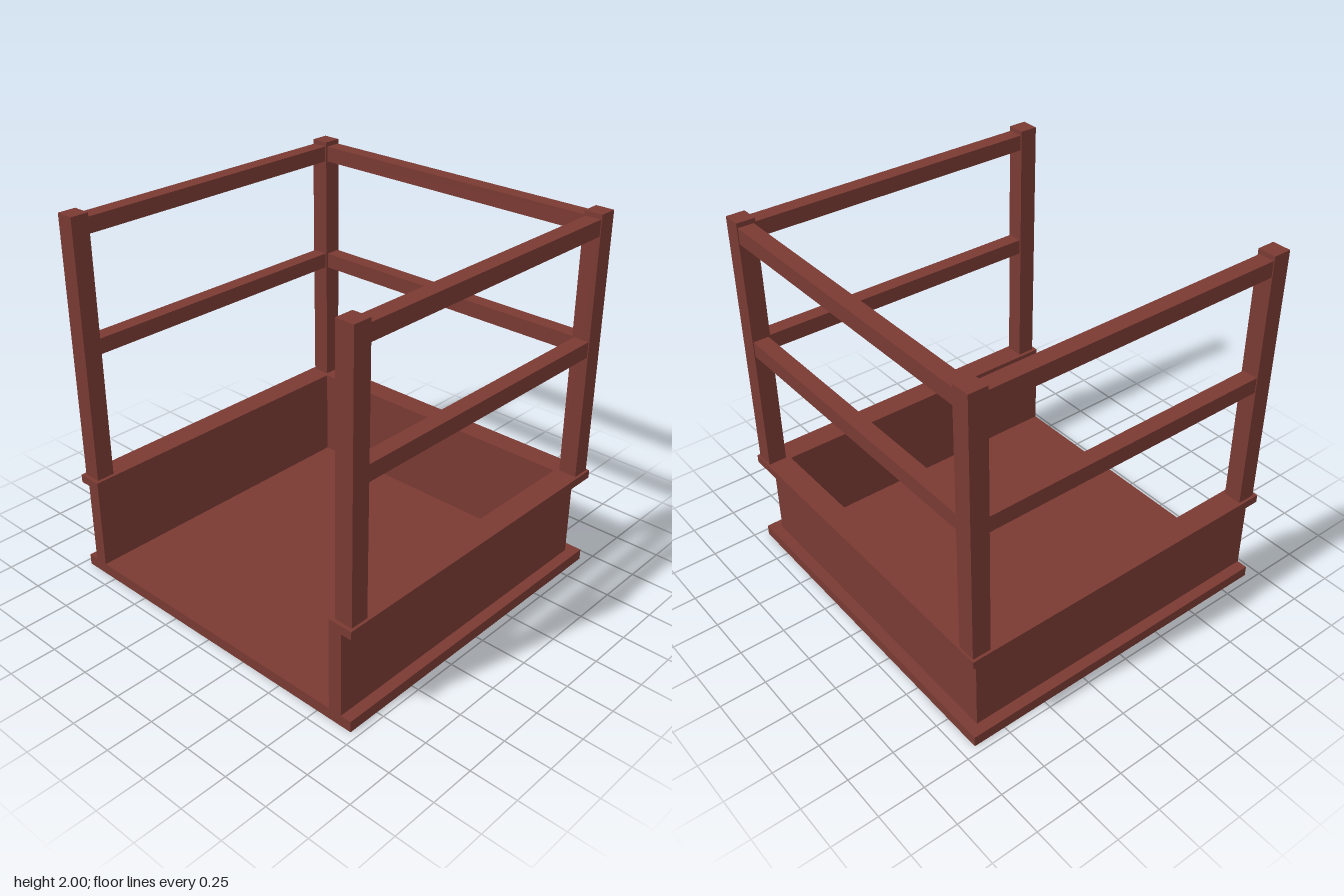
import * as THREE from 'three';

const material = new THREE.MeshStandardMaterial({ color: 0x7a3a33, flatShading: true });

export function createModel() {
  const group = new THREE.Group();
  group.name = 'guardedPlatform';

  const add = (name, geometry) => {
    const mesh = new THREE.Mesh(geometry, material);
    mesh.name = name;
    group.add(mesh);
    return mesh;
  };

  // Box given by its minimum and maximum corners
  const box = (name, [x0, y0, z0], [x1, y1, z1]) =>
    add(name, new THREE.BoxGeometry(x1 - x0, y1 - y0, z1 - z0))
      .position.set((x0 + x1) / 2, (y0 + y1) / 2, (z0 + z1) / 2);

  // One layer of the three-sided wall, open towards the front
  const innerX = 0.825, innerZ = -0.8, frontZ = 0.93;
  const wallLayer = (name, outerX, backZ, y0, y1) => {
    const shape = new THREE.Shape([
      [-outerX, frontZ], [-outerX, backZ], [outerX, backZ], [outerX, frontZ],
      [innerX, frontZ], [innerX, innerZ], [-innerX, innerZ], [-innerX, frontZ],
    ].map(([x, z]) => new THREE.Vector2(x, -z)));
    const geometry = new THREE.ExtrudeGeometry(shape, { depth: y1 - y0, bevelEnabled: false });
    geometry.rotateX(-Math.PI / 2);
    add(name, geometry).position.y = y0;
  };
  wallLayer('bottomFlange', 0.96, -0.93, 0, 0.06);
  wallLayer('wallWeb', 0.9, -0.87, 0.06, 0.52);
  wallLayer('topFlange', 0.96, -0.93, 0.52, 0.565);

  // Floor plate between the walls
  box('floor', [-innerX, 0, innerZ], [innerX, 0.06, frontZ]);

  // Corner posts, sunk slightly into the top flange
  for (const side of [-1, 1]) {
    const xs = [0.845 * side, 0.945 * side].sort((a, b) => a - b);
    box('frontPost', [xs[0], 0.54, 0.81], [xs[1], 2, 0.91]);
    box('backPost', [xs[0], 0.54, -0.92], [xs[1], 2, -0.82]);
  }

  // Middle and top rails on the sides and back
  for (const [level, y0, y1] of [['middle', 1.255, 1.34], ['top', 1.89, 1.975]]) {
    box(level + 'RailRight', [-0.94, y0, -0.82], [-0.855, y1, 0.81]);
    box(level + 'RailLeft', [0.855, y0, -0.82], [0.94, y1, 0.81]);
    box(level + 'RailBack', [-0.845, y0, -0.915], [0.845, y1, -0.83]);
  }

  return group;
}
